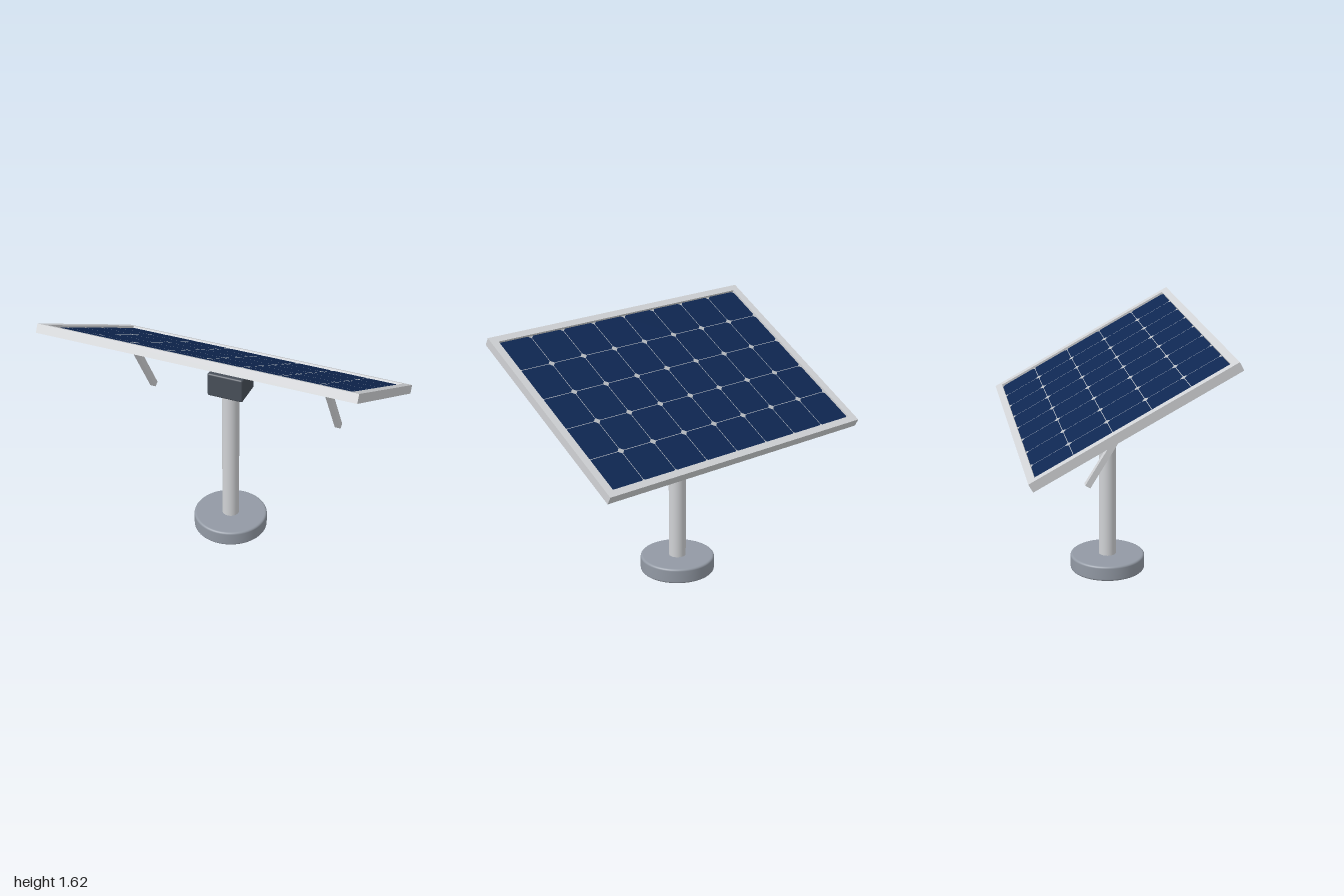
import * as THREE from 'three';
import { RoundedBoxGeometry } from 'three/addons/geometries/RoundedBoxGeometry.js';

const material = (name, color) => {
  const m = new THREE.MeshStandardMaterial({ color });
  m.name = name;
  return m;
};

const AXIS_Z = 0.005;              // pole axis
const WIDTH = 2, LENGTH = 1.36, THICK = 0.056;
const OPEN_X = 1.9, OPEN_Z = 1.268; // opening inside the frame
const COLS = 8, ROWS = 5, PITCH_X = 0.239, PITCH_Z = 0.2552;
const GAP = 0.004, CHAMFER = 0.02;

export function createModel() {
  const aluminium = material('aluminium', 0xd0d2d5);
  const baseGrey = material('base grey', 0x9299a4);
  const headGrey = material('head dark grey', 0x484f59);
  const cellBlue = material('cell navy', 0x0e2752);
  const gridGrey = material('grid light grey', 0xb8bcc2);
  const backDark = material('back sheet dark', 0x4c4e54);

  const model = new THREE.Group();
  model.name = 'solarPanel';

  const add = (parent, name, geometry, mat, x = 0, y = 0, z = 0) => {
    const mesh = new THREE.Mesh(geometry, mat);
    mesh.name = name;
    mesh.position.set(x, y, z);
    parent.add(mesh);
    return mesh;
  };

  // Round foot with softened rims
  const R = 0.24, H = 0.1, r = 0.014;
  const profile = [new THREE.Vector2(0, 0), new THREE.Vector2(R - r - 0.002, 0)];
  for (const [cy, start] of [[r, -Math.PI / 2], [H - r, 0]]) {
    for (let i = 0; i <= 5; i++) {
      const a = start + (i / 5) * Math.PI / 2;
      profile.push(new THREE.Vector2(R - r + r * Math.cos(a), cy + r * Math.sin(a)));
    }
  }
  profile.push(new THREE.Vector2(R - r - 0.002, H), new THREE.Vector2(0, H));
  add(model, 'base', new THREE.LatheGeometry(profile, 64), baseGrey, 0, 0, AXIS_Z);

  // Pole and mounting head
  add(model, 'pole', new THREE.CylinderGeometry(0.055, 0.055, 0.97, 48), aluminium, 0, 0.575, AXIS_Z);
  add(model, 'mountHead', new RoundedBoxGeometry(0.235, 0.16, 0.2, 4, 0.012), headGrey, 0, 1.125, AXIS_Z);

  // Slanted struts on both sides
  for (const side of [1, -1]) {
    const strut = add(model, side > 0 ? 'leftStrut' : 'rightStrut',
      new THREE.BoxGeometry(0.038, 0.494, 0.036), aluminium, side * 0.643, 1.02, -0.094);
    strut.rotation.x = 0.549;
  }

  // Tilted panel, raised towards the front
  const panel = new THREE.Group();
  panel.name = 'panel';
  panel.position.y = 1.272;
  panel.rotation.x = -0.5;
  model.add(panel);

  // Frame with an open middle
  const rect = (target, w, h) => target
    .moveTo(-w / 2, -h / 2).lineTo(w / 2, -h / 2).lineTo(w / 2, h / 2).lineTo(-w / 2, h / 2).closePath();
  const outline = rect(new THREE.Shape(), WIDTH, LENGTH);
  outline.holes.push(rect(new THREE.Path(), OPEN_X, OPEN_Z));
  const frame = new THREE.ExtrudeGeometry(outline, { depth: THICK, bevelEnabled: false });
  frame.translate(0, 0, -THICK / 2).rotateX(-Math.PI / 2);
  add(panel, 'frame', frame, aluminium);

  // Recessed dark back and light grid sheet
  add(panel, 'backSheet', new THREE.BoxGeometry(OPEN_X, 0.028, OPEN_Z), backDark, 0, -0.006, 0);
  add(panel, 'gridSheet', new THREE.BoxGeometry(OPEN_X, 0.004, OPEN_Z), gridGrey, 0, 0.01, 0);

  // Cells with clipped corners
  const cells = [];
  const w = (PITCH_X - GAP) / 2, h = (PITCH_Z - GAP) / 2, c = CHAMFER;
  const corners = [[-w + c, -h], [w - c, -h], [w, -h + c], [w, h - c],
    [w - c, h], [-w + c, h], [-w, h - c], [-w, -h + c]];
  for (let i = 0; i < COLS; i++) {
    for (let j = 0; j < ROWS; j++) {
      const cx = (i - (COLS - 1) / 2) * PITCH_X;
      const cy = (j - (ROWS - 1) / 2) * PITCH_Z;
      cells.push(new THREE.Shape(corners.map(([x, y]) => new THREE.Vector2(cx + x, cy + y))));
    }
  }
  add(panel, 'cells', new THREE.ShapeGeometry(cells).rotateX(-Math.PI / 2), cellBlue, 0, 0.0145, 0);

  return model;
}
